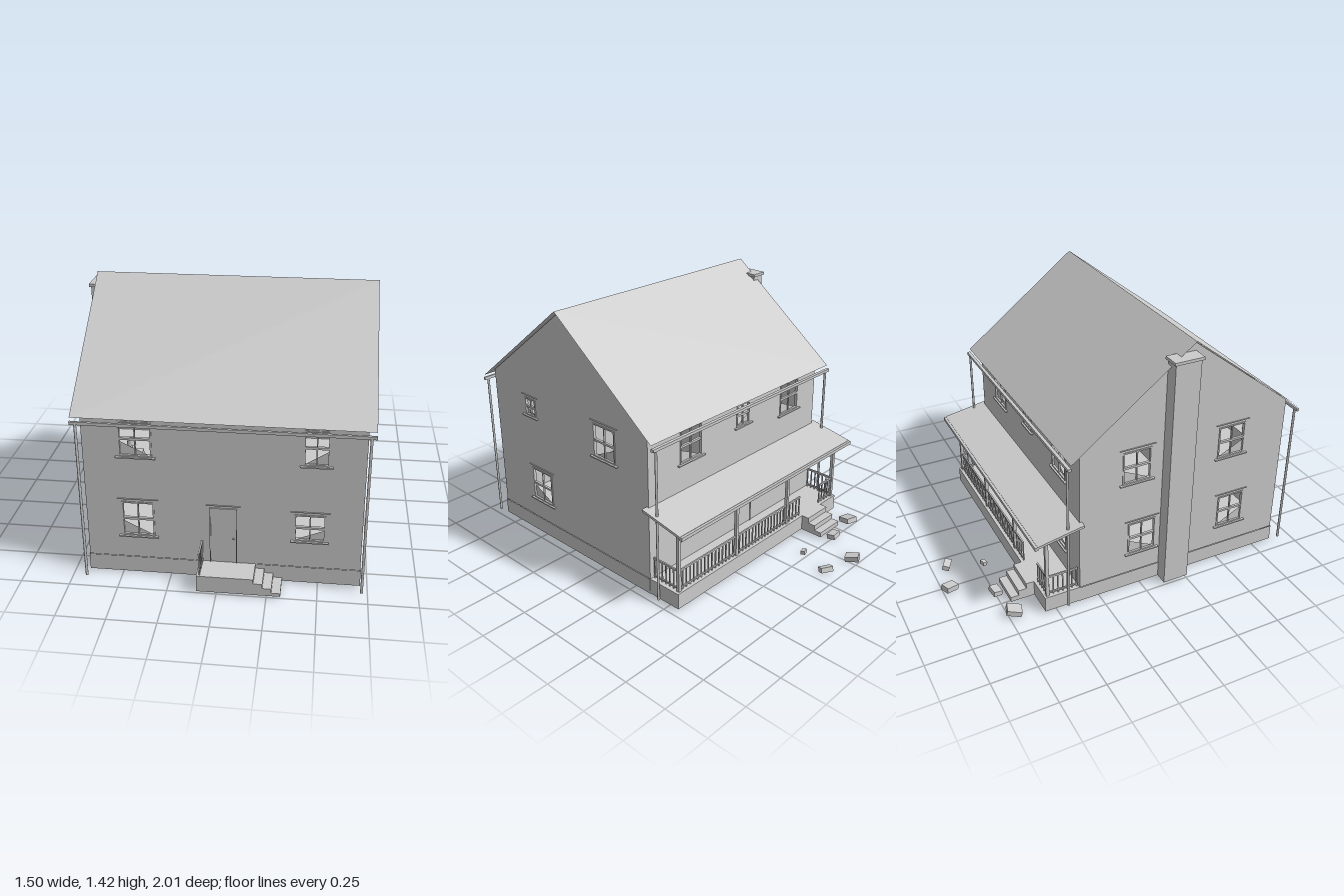
import * as THREE from 'three';

export function createModel() {
  const house = new THREE.Group();
  house.name = 'house';
  const grey = new THREE.MeshStandardMaterial({ color: 0xcccccc, side: THREE.DoubleSide });
  grey.name = 'plain grey';

  // --- helpers ---
  const add = (parent, name, geo) => {
    const m = new THREE.Mesh(geo, grey);
    m.name = name;
    parent.add(m);
    return m;
  };
  const group = (parent, name) => {
    const g = new THREE.Group();
    g.name = name;
    parent.add(g);
    return g;
  };
  // box given by its two extreme corners
  const box = (parent, name, x0, x1, y0, y1, z0, z1) => {
    const m = add(parent, name, new THREE.BoxGeometry(x1 - x0, y1 - y0, z1 - z0));
    m.position.set((x0 + x1) / 2, (y0 + y1) / 2, (z0 + z1) / 2);
    return m;
  };
  // flat four-cornered sheet
  const sheet = (parent, name, a, b, c, d) => {
    const g = new THREE.BufferGeometry();
    g.setAttribute('position', new THREE.Float32BufferAttribute([...a, ...b, ...c, ...d], 3));
    g.setIndex([0, 1, 2, 0, 2, 3]);
    g.computeVertexNormals();
    return add(parent, name, g);
  };
  // box without top or bottom
  const skirt = (parent, name, x0, x1, y0, y1, z0, z1) => {
    const p = [[x0, z1], [x1, z1], [x1, z0], [x0, z0]];
    p.forEach(([x, z], i) => {
      const [u, w] = p[(i + 1) % 4];
      sheet(parent, name, [x, y0, z], [u, y0, w], [u, y1, w], [x, y1, z]);
    });
  };
  const rect = (Type, x0, x1, y0, y1) => new Type([[x0, y0], [x1, y0], [x1, y1], [x0, y1]]
    .map(([x, y]) => new THREE.Vector2(x, y)));

  const X0 = -0.67, X1 = 0.71, ZF = 0.865, ZB = -0.365, RIDGE = 0.248;
  const BASE = 0.1, EAVE = 0.94, PEAK = 1.412, T = 0.012;

  // --- window: sash bars, sill, drip cap and a broken pane ---
  const windowUnit = (parent, [x, y, w, h], flip) => {
    const g = group(parent, 'window');
    g.position.set(x, y, 0);
    const a = w / 2, b = h / 2, f = 0.008;
    for (const s of [-1, 1]) {
      box(g, 'windowJamb', Math.min(s * a, s * (a - f)), Math.max(s * a, s * (a - f)), -b, b, -0.014, 0.004);
      box(g, 'windowRail', -a, a, s * b - (s > 0 ? f : 0), s * b + (s > 0 ? 0 : f), -0.014, 0.004);
    }
    box(g, 'meetingRail', -a, a, -0.006, 0.006, -0.012, 0.002);
    box(g, 'muntin', -0.003, 0.003, -b, b, -0.01, 0);
    box(g, 'sill', -a - 0.017, a + 0.017, -b - 0.007, -b, -0.012, 0.014);
    box(g, 'dripCap', -a - 0.02, a + 0.02, b + 0.014, b + 0.017, 0, 0.006);
    const s = flip ? -1 : 1;
    const shard = new THREE.Shape([[-a * s, -b], [a * s, -b], [-a * s, -b * 0.15]]
      .map(([u, v]) => new THREE.Vector2(u, v)));
    add(g, 'brokenPane', new THREE.ShapeGeometry(shard)).position.z = -0.007;
  };

  // --- wall panel with openings; local +z points outdoors ---
  const wall = (name, outline, windows, pos, turn, door) => {
    const g = group(house, name);
    const shape = new THREE.Shape(outline.map(([x, y]) => new THREE.Vector2(x, y)));
    windows.forEach((o, i) => {
      const [x, y, w, h] = o;
      shape.holes.push(rect(THREE.Path, x - w / 2, x + w / 2, y - h / 2, y + h / 2));
      windowUnit(g, o, i % 2);
    });
    const geo = new THREE.ExtrudeGeometry(shape, { depth: T, bevelEnabled: false });
    add(g, name + 'Panel', geo.translate(0, 0, -T));
    if (door !== undefined) {
      box(g, 'door', door - 0.062, door + 0.062, BASE + 0.005, 0.41, 0, 0.003);
      for (const s of [-1, 1]) {
        box(g, 'doorJamb', door + s * 0.066 - 0.003, door + s * 0.066 + 0.003, BASE, 0.415, 0, 0.006);
      }
      box(g, 'doorHead', door - 0.069, door + 0.069, 0.41, 0.416, 0, 0.006);
      box(g, 'doorCap', door - 0.085, door + 0.085, 0.429, 0.432, 0, 0.006);
      const knob = add(g, 'doorKnob', new THREE.SphereGeometry(0.005, 8, 6));
      knob.position.set(door + 0.052, 0.245, 0.008);
    }
    g.position.set(...pos);
    g.rotation.y = turn;
  };
  const longSide = (a, b) => [[a, BASE], [b, BASE], [b, EAVE], [a, EAVE]];
  const gable = (a, b, r) => [[a, BASE], [b, BASE], [b, EAVE], [r, PEAK], [a, EAVE]];

  wall('frontWall', longSide(X0, X1), [[-0.407, 0.775, 0.165, 0.19], [0.472, 0.775, 0.125, 0.19],
    [-0.407, 0.327, 0.165, 0.195], [0.452, 0.33, 0.155, 0.15]], [0, 0, ZF], 0, 0.022);
  wall('backWall', longSide(-X1, -X0), [[-0.4, 0.775, 0.165, 0.19], [0.015, 0.8, 0.11, 0.13],
    [0.425, 0.775, 0.165, 0.19], [-0.42, 0.327, 0.155, 0.19], [0.42, 0.327, 0.165, 0.19]],
  [0, 0, ZB], Math.PI, 0.03);
  wall('rightWall', gable(-ZF, -ZB, -RIDGE), [[-0.555, 0.798, 0.09, 0.105], [0.048, 0.775, 0.165, 0.19],
    [-0.495, 0.323, 0.17, 0.195]], [X1, 0, 0], Math.PI / 2);
  wall('leftWall', gable(ZB, ZF, RIDGE), [[-0.04, 0.775, 0.165, 0.19], [0.53, 0.775, 0.165, 0.19],
    [0.0, 0.323, 0.165, 0.195], [0.56, 0.323, 0.165, 0.195]], [X0, 0, 0], -Math.PI / 2);

  // --- foundation, floors and partitions ---
  skirt(house, 'foundation', X0 - 0.003, X1 + 0.003, 0.01, BASE, ZB, ZF + 0.003);
  sheet(house, 'groundFloor', [X0, BASE, ZF], [X1, BASE, ZF], [X1, BASE, ZB], [X0, BASE, ZB]);
  box(house, 'upperFloor', X0 + T, X1 - T, 0.5, 0.515, ZB + T, ZF - T);
  box(house, 'crossPartition', 0.12, 0.13, BASE, 0.93, ZB + T, ZF - T);
  box(house, 'upperPartition', X0 + T, X1 - T, 0.515, 0.93, RIDGE, RIDGE + 0.01);
  box(house, 'lowerPartition', 0.13, X1 - T, BASE, 0.5, RIDGE, RIDGE + 0.01);

  // bedside lamp behind the upper front window
  const lamp = group(house, 'lamp');
  lamp.position.set(-0.443, 0.675, 0.78);
  add(lamp, 'lampShade', new THREE.CylinderGeometry(0.017, 0.024, 0.035, 12)).position.y = 0.045;
  add(lamp, 'lampStem', new THREE.CylinderGeometry(0.006, 0.009, 0.05, 8)).position.y = 0.01;
  box(house, 'nightstand', -0.49, -0.39, 0.515, 0.66, 0.74, 0.83);

  // --- main roof, gutters and downpipes ---
  const RX0 = -0.705, RX1 = 0.745;
  for (const [z, y, g0, g1] of [[0.92, 0.902, 0.919, 0.931], [-0.425, 0.902, -0.442, -0.424]]) {
    sheet(house, 'roofSlope', [RX0, y, z], [RX1, y, z], [RX1, 1.421, RIDGE], [RX0, 1.421, RIDGE]);
    box(house, 'gutter', RX0, RX1, 0.869, 0.885, g0, g1);
    for (const x of [-0.677, 0.72]) {
      const pipe = add(house, 'downpipe', new THREE.CylinderGeometry(0.007, 0.007, 0.87, 10));
      pipe.position.set(x, 0.445, (g0 + g1) / 2);
    }
  }

  // --- chimney ---
  skirt(house, 'chimneyShaft', -0.743, X0, 0.01, 1.34, 0.112, 0.258);
  box(house, 'chimneyCap', -0.752, -0.66, 1.34, 1.356, 0.102, 0.268);

  // --- railing along x or z ---
  const railing = (name, x0, x1, z0, z1) => {
    const g = group(house, name);
    const r = 0.004, len = Math.max(x1 - x0, z1 - z0), n = Math.max(2, Math.round(len / 0.028));
    box(g, 'topRail', x0 - r, x1 + r, 0.214, 0.225, z0 - r, z1 + r);
    box(g, 'bottomRail', x0 - r, x1 + r, 0.112, 0.12, z0 - r, z1 + r);
    for (let i = 0; i <= n; i++) {
      const x = x0 + (x1 - x0) * i / n, z = z0 + (z1 - z0) * i / n;
      box(g, 'baluster', x - 0.003, x + 0.003, BASE, 0.216, z - 0.003, z + 0.003);
    }
  };

  // --- front stoop with side steps ---
  skirt(house, 'stoopBase', -0.1, 0.14, 0.01, BASE, ZF, 1);
  box(house, 'stoopDeck', -0.1, 0.185, 0.092, BASE, ZF, 1);
  [0.185, 0.23, 0.275, 0.32].forEach((x, i) =>
    skirt(house, 'stoopStep', 0.14, x, 0.01, BASE - i * 0.024, ZF + 0.003, 1));
  [0.23, 0.275, 0.32].forEach((x, i) =>
    box(house, 'stoopTread', x - 0.045, x, 0.07 - i * 0.024, 0.076 - i * 0.024, ZF + 0.003, 1));
  railing('stoopRailing', -0.085, -0.085, 0.875, 0.988);

  // --- back porch ---
  const PZ = -0.565;
  skirt(house, 'porchBase', X0, X1, 0.01, BASE, PZ, ZB);
  box(house, 'porchDeck', X0, X1, 0.092, BASE, PZ, ZB);
  const posts = [-0.65, -0.207, 0.237, 0.685];
  posts.forEach(x => box(house, 'porchPost', x - 0.009, x + 0.009, BASE, 0.485, -0.554, -0.536));
  railing('porchRailing', -0.64, -0.53, -0.545, -0.545);
  railing('porchRailing', -0.33, posts[1], -0.545, -0.545);
  railing('porchRailing', posts[1], posts[2], -0.545, -0.545);
  railing('porchRailing', posts[2], posts[3], -0.545, -0.545);
  for (const x of [posts[0], posts[3]]) railing('porchSideRailing', x, x, -0.536, ZB - 0.01);

  // porch roof: sloping slab with a gutter on its low edge
  const slab = new THREE.Shape([[0.352, 0.526], [0.352, 0.512], [0.612, 0.462], [0.612, 0.476]]
    .map(([u, v]) => new THREE.Vector2(u, v)));
  const porchRoof = add(house, 'porchRoof',
    new THREE.ExtrudeGeometry(slab, { depth: RX1 - RX0, bevelEnabled: false }));
  porchRoof.rotation.y = Math.PI / 2;
  porchRoof.position.x = RX0;
  box(house, 'porchGutter', RX0, RX1, 0.455, 0.474, -0.626, -0.608);

  // back steps
  [[-0.61, 0.1], [-0.655, 0.068], [-0.7, 0.038]].forEach(([z, y]) =>
    box(house, 'backStep', -0.52, -0.34, 0.01, y, z, PZ));

  // --- loose blocks on the ground: x, z, width, height, depth, turn, tilt ---
  for (const [x, z, w, h, d, turn, tilt] of [
    [-0.275, -0.96, 0.055, 0.03, 0.075, 0.4, 0.2], [-0.085, -0.915, 0.07, 0.028, 0.04, -0.5, 0.3],
    [-0.405, -0.745, 0.068, 0.028, 0.048, 0.12, 0.15], [-0.6, -0.715, 0.068, 0.03, 0.08, -0.3, 0.25],
    [-0.15, -0.72, 0.035, 0.02, 0.025, 0.25, 0.2]]) {
    const b = add(house, 'fallenBlock', new THREE.BoxGeometry(w, h, d));
    b.rotation.set(tilt, turn, 0, 'YXZ');
    b.position.set(x, (h * Math.cos(tilt) + d * Math.sin(tilt)) / 2, z);
  }
  return house;
}
